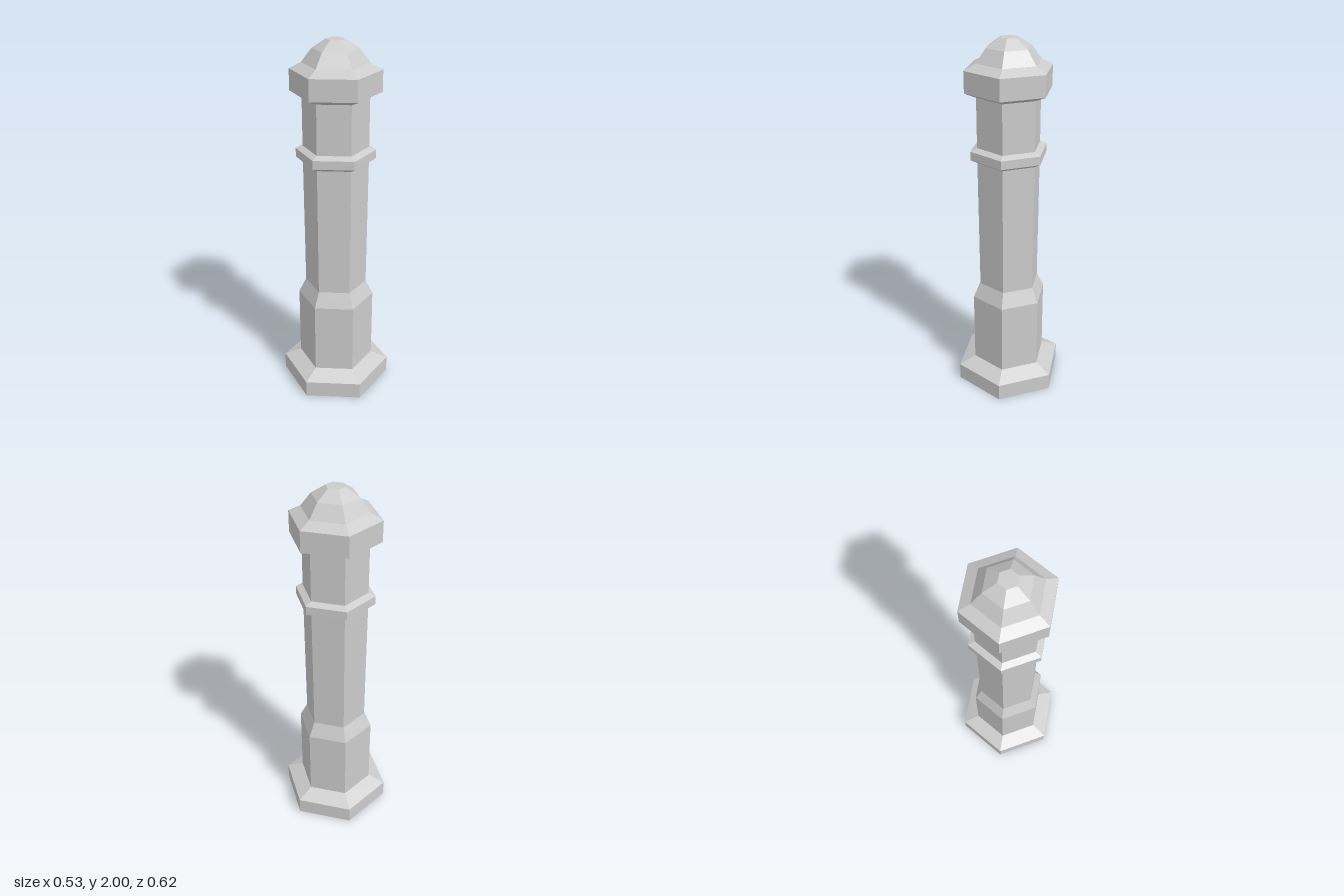
import * as THREE from 'three';

const material = new THREE.MeshStandardMaterial({ color: 0xcccccc, flatShading: true });

// Six-sided band turned from [radius, height] points, with corners on +z and -z
function hexBand(name, profile) {
  const points = profile.map(([r, y]) => new THREE.Vector2(r, y));
  const mesh = new THREE.Mesh(new THREE.LatheGeometry(points, 6), material);
  mesh.name = name;
  return mesh;
}

export function createModel() {
  const model = new THREE.Group();
  model.name = 'bollard';

  // Each band starts where the one below it ends
  model.add(
    hexBand('foot', [[0, 0], [0.308, 0], [0.308, 0.095], [0.212, 0.138]]),
    hexBand('plinth', [[0.212, 0.138], [0.212, 0.548], [0.171, 0.632]]),
    hexBand('shaft', [[0.171, 0.632], [0.175, 1.36]]),
    hexBand('collar', [[0.175, 1.36], [0.212, 1.38], [0.212, 1.427], [0.175, 1.443]]),
    hexBand('neck', [[0.175, 1.443], [0.175, 1.71]]),
    hexBand('cap', [[0.175, 1.71], [0.237, 1.737], [0.237, 1.85], [0.175, 1.882]]),
    hexBand('dome', [[0.175, 1.882], [0.121, 1.953], [0.05, 2], [0, 2]]),
  );
  return model;
}
